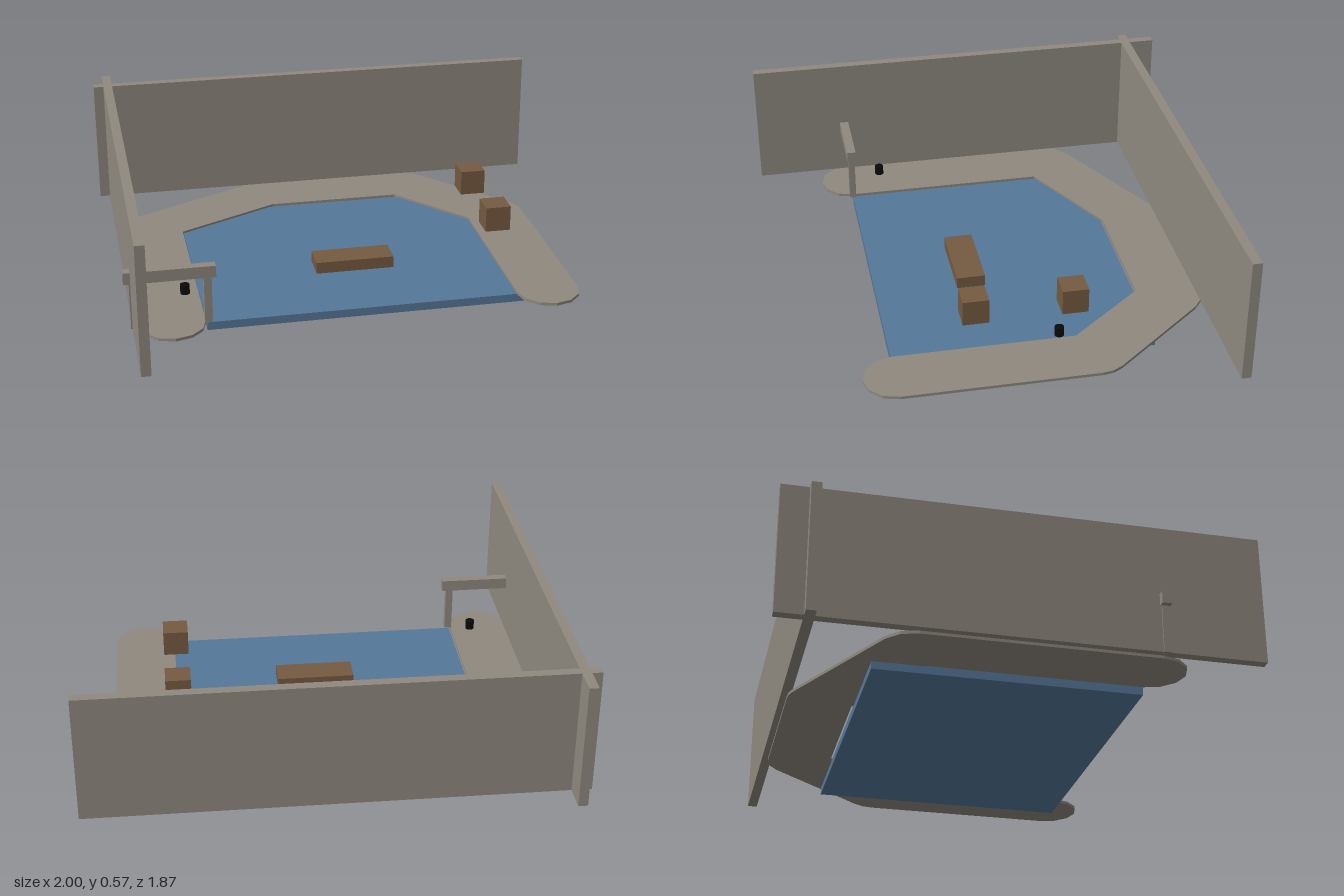
import * as THREE from 'three';

const stone = new THREE.MeshStandardMaterial({ color: 0x8f897f });
const water = new THREE.MeshStandardMaterial({ color: 0x557799 });
const wood = new THREE.MeshStandardMaterial({ color: 0x755a40 });
const black = new THREE.MeshStandardMaterial({ color: 0x0a0a0a });

export function createModel() {
  const model = new THREE.Group();

  // Box given by its extents along each axis
  const box = (name, material, [x0, x1], [y0, y1], [z0, z1], parent = model) => {
    const mesh = new THREE.Mesh(new THREE.BoxGeometry(x1 - x0, y1 - y0, z1 - z0), material);
    mesh.position.set((x0 + x1) / 2, (y0 + y1) / 2, (z0 + z1) / 2);
    mesh.name = name;
    parent.add(mesh);
  };

  // Pool basin
  box('poolWater', water, [-0.665, 0.665], [0, 0.034], [-0.533, 0.533]);

  // Walkway: a strip of constant width around the pool, with round corners and ends
  const r = 0.13, y0 = 0.031, y1 = 0.043;
  const path = [[0.73, 0.53], [0.73, -0.27], [0.395, -0.67], [-0.265, -0.67], [-0.8, -0.4], [-0.8, 0.53]]
    .map(([x, z]) => new THREE.Vector2(x, -z));
  const outline = [];
  const arc = (c, from, to, steps) => {
    for (let i = 0; i <= steps; i++) {
      const a = from + (to - from) * i / steps;
      outline.push(new THREE.Vector2(c.x + r * Math.cos(a), c.y + r * Math.sin(a)));
    }
  };
  // Outer side, direction angles of the normals at each corner
  const normals = path.slice(1).map((p, i) => p.clone().sub(path[i]).angle() - Math.PI / 2);
  for (let i = 1; i < normals.length; i++) {
    while (normals[i] < normals[i - 1] - 1e-6) normals[i] += Math.PI * 2;
  }
  const last = path.length - 1;
  arc(path[0], normals[0] - Math.PI, normals[0], 6);
  for (let i = 1; i < last; i++) arc(path[i], normals[i - 1], normals[i], 2);
  arc(path[last], normals[last - 1], normals[last - 1] + Math.PI, 6);
  // Inner side, sharp corners
  [[-0.67, -0.32], [-0.235, -0.54], [0.335, -0.54], [0.6, -0.22]]
    .forEach(([x, z]) => outline.push(new THREE.Vector2(x, -z)));
  const deck = new THREE.Mesh(
    new THREE.ExtrudeGeometry(new THREE.Shape(outline), { depth: y1 - y0, bevelEnabled: false }), stone);
  deck.rotation.x = -Math.PI / 2;
  deck.position.y = y0;
  deck.name = 'walkway';
  model.add(deck);

  // Two crossing walls
  box('backWall', stone, [-1, 1], [0.044, 0.575], [-0.825, -0.785]);
  box('sideWall', stone, [-0.957, -0.918], [0.044, 0.575], [-0.935, 0.932]);

  // Gate of two posts and a lintel
  const gate = new THREE.Group();
  gate.name = 'gate';
  model.add(gate);
  box('gateLintel', stone, [-0.985, -0.625], [0.238, 0.287], [0.515, 0.553], gate);
  box('gatePostInner', stone, [-0.674, -0.643], [0.043, 0.238], [0.52, 0.548], gate);
  box('gatePostOuter', stone, [-0.963, -0.932], [0.043, 0.238], [0.52, 0.548], gate);

  // Wooden float and two raised crates
  box('float', wood, [-0.165, 0.163], [0.034, 0.083], [0.07, 0.19]);
  for (const z of [-0.203, 0.197]) {
    box('crate', wood, [0.543, 0.648], [0.19, 0.296], [z - 0.053, z + 0.053]);
  }

  // Small dark markers
  for (const [x, z] of [[0.663, -0.135], [-0.735, 0.4]]) {
    const marker = new THREE.Mesh(new THREE.CylinderGeometry(0.019, 0.019, 0.039, 16), black);
    marker.position.set(x, 0.124, z);
    marker.name = 'marker';
    model.add(marker);
  }
  return model;
}
